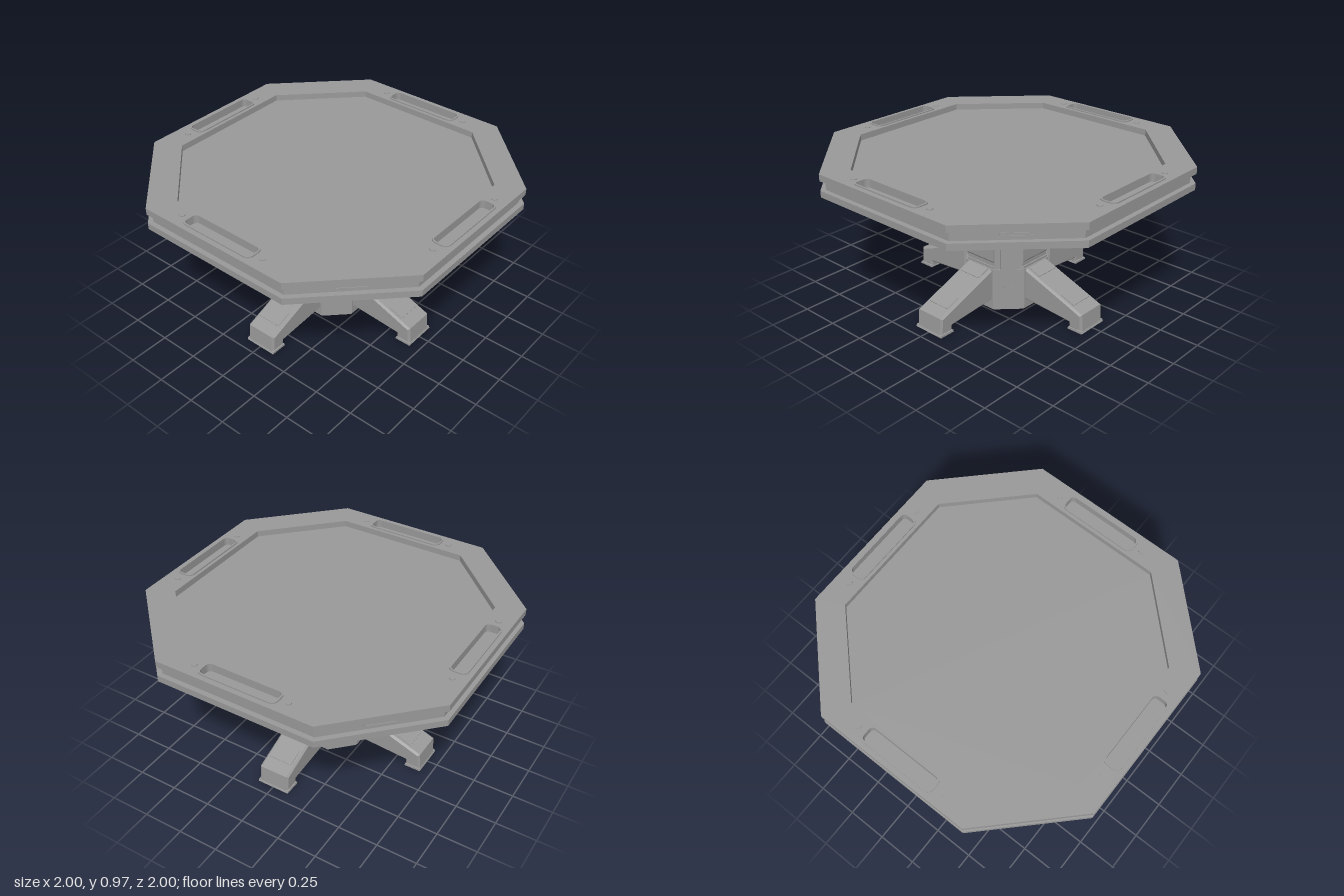
import * as THREE from 'three';

const metal = new THREE.MeshStandardMaterial({ color: 0x999999 });
metal.name = 'grey metal';

const V = (x, y) => new THREE.Vector2(x, y);

// Octagon outline: a = half width, b = half length of a straight edge
function oct(a, b = a / 2) {
  return [V(b, -a), V(a, -b), V(a, b), V(b, a), V(-b, a), V(-a, b), V(-a, -b), V(-b, -a)];
}

// Rounded rectangle outline
function pill(cx, cy, w, h, r) {
  const pts = [];
  const corners = [[1, 1], [-1, 1], [-1, -1], [1, -1]];
  corners.forEach(([sx, sy], i) => {
    for (let k = 0; k <= 4; k++) {
      const t = (i + k / 4) * Math.PI / 2;
      pts.push(V(cx + sx * (w / 2 - r) + r * Math.cos(t), cy + sy * (h / 2 - r) + r * Math.sin(t)));
    }
  });
  return pts;
}

function mesh(parent, name, geometry) {
  const m = new THREE.Mesh(geometry, metal);
  m.name = name;
  parent.add(m);
  return m;
}

// Horizontal slab between two heights, outline given in x and z
function slab(parent, name, outline, y0, y1, holes = []) {
  const shape = new THREE.Shape(outline);
  holes.forEach(h => shape.holes.push(new THREE.Path(h)));
  const g = new THREE.ExtrudeGeometry(shape, { depth: y1 - y0, bevelEnabled: false });
  g.rotateX(Math.PI / 2).translate(0, y1, 0);
  return mesh(parent, name, g);
}

// Side profile in x and y, given a width across z
function profile(parent, name, pts, width, bevel = 0) {
  const shape = new THREE.Shape(pts.map(p => V(p[0], p[1])));
  const g = new THREE.ExtrudeGeometry(shape, {
    depth: width - 2 * bevel, bevelEnabled: bevel > 0, bevelSize: bevel,
    bevelOffset: -bevel, bevelThickness: bevel, bevelSegments: 1,
  });
  g.translate(0, 0, bevel - width / 2);
  return mesh(parent, name, g);
}

function box(parent, name, w, h, d, x, y, z) {
  const m = mesh(parent, name, new THREE.BoxGeometry(w, h, d));
  m.position.set(x, y, z);
  return m;
}

function turned(parent, name, angle) {
  const g = new THREE.Group();
  g.name = name;
  g.rotation.y = angle;
  parent.add(g);
  return g;
}

function buildTop(root) {
  const top = turned(root, 'tableTop', 0);
  const trays = [[0, 0.915, 1], [0, -0.915, 1], [0.915, 0, 0], [-0.915, 0, 0]];
  const tray = ([x, z, along], grow) => {
    const l = 0.48 + grow, w = 0.09 + grow;
    return along ? pill(x, z, l, w, 0.025 + grow / 2) : pill(x, z, w, l, 0.025 + grow / 2);
  };

  // Underside: rim, groove, inner ring around a shallow recess
  slab(top, 'lowerRim', oct(1), 0.82, 0.842, [oct(0.83)]);
  slab(top, 'undersideRing', oct(0.81), 0.82, 0.842, [oct(0.68)]);
  slab(top, 'lowerPlate', oct(1), 0.842, 0.86);

  // Inset band and raised rim with the sunken playing surface
  slab(top, 'edgeBand', oct(0.97, 0.488), 0.86, 0.918);
  slab(top, 'upperRim', oct(1), 0.918, 0.96, [oct(0.84, 0.42), ...trays.map(t => tray(t, 0))]);
  slab(top, 'playingSurface', oct(0.845, 0.422), 0.912, 0.921);

  // Tray lips and studs
  trays.forEach(t => {
    slab(top, 'trayLip', tray(t, 0.02), 0.955, 0.968, [tray(t, 0)]);
    for (const s of [-0.3, 0.3]) {
      const stud = mesh(top, 'stud', new THREE.CylinderGeometry(0.018, 0.018, 0.012, 16));
      stud.position.set(t[0] + (t[2] ? s : 0), 0.959, t[1] + (t[2] ? 0 : s));
    }
  });

  // Slot frames on the diagonal edges and radial ribs below
  for (let i = 0; i < 4; i++) {
    const g = turned(top, 'diagonalEdge', Math.PI / 4 + i * Math.PI / 2);
    const shape = new THREE.Shape(pill(0, 0, 0.18, 0.022, 0.01));
    shape.holes.push(new THREE.Path(pill(0, 0, 0.166, 0.01, 0.004)));
    const frame = mesh(g, 'slotFrame', new THREE.ExtrudeGeometry(shape, { depth: 0.006, bevelEnabled: false }));
    frame.position.set(0, 0.89, (0.97 + 0.488) / Math.SQRT2 - 0.002);
    box(g, 'undersideRib', 0.05, 0.024, 0.56, 0, 0.832, 0.46);
  }
}

function buildColumn(root) {
  const column = turned(root, 'column', 0);
  slab(column, 'columnFoot', oct(0.235, 0.105), 0, 0.015);
  slab(column, 'columnBase', oct(0.245, 0.11), 0.015, 0.28);
  slab(column, 'columnBaseCap', oct(0.238, 0.107), 0.28, 0.295);
  slab(column, 'columnMiddle', oct(0.23, 0.11), 0.295, 0.485);
  slab(column, 'columnGroove', oct(0.218, 0.105), 0.485, 0.5);
  // Upper part has an open bay at the front for the cables
  const bay = oct(0.235, 0.115);
  bay.splice(4, 0, V(0.105, 0.235), V(0.105, 0.19), V(-0.105, 0.19), V(-0.105, 0.235));
  slab(column, 'columnUpper', bay, 0.5, 0.725);
  slab(column, 'columnHead', oct(0.24, 0.11), 0.725, 0.845);

  // Strips on the diagonal faces
  for (let i = 0; i < 4; i++) {
    const g = turned(column, 'diagonalStrip', Math.PI / 4 + i * Math.PI / 2);
    box(g, 'strip', 0.096, 0.6, 0.05, 0, 0.43, 0.242);
    box(g, 'stripMark', 0.05, 0.008, 0.004, 0, 0.69, 0.268);
    box(g, 'stripMark', 0.05, 0.008, 0.004, 0, 0.17, 0.268);
  }

  // Loose cables in the front bay
  const cables = [
    [-0.08, -0.045, -0.075, -0.05, 0.245], [-0.05, -0.075, -0.04, -0.055, 0.235],
    [0.01, 0.04, 0.015, 0.035, 0.25], [0.05, 0.035, 0.07, 0.045, 0.24],
    [-0.1, -0.1, -0.06, -0.03, 0.225],
  ];
  cables.forEach(([a, b, c, d, z]) => {
    const path = new THREE.CatmullRomCurve3([
      new THREE.Vector3(a, 0.725, 0.195), new THREE.Vector3(b, 0.66, z),
      new THREE.Vector3(c, 0.59, z), new THREE.Vector3(d, 0.5, 0.195),
    ]);
    mesh(column, 'cable', new THREE.TubeGeometry(path, 24, 0.008, 8));
  });
}

// One arm along +x: leg, column panels and bracket under the top
function buildArm(root, angle, hasPanel) {
  const arm = turned(root, 'arm', angle);
  profile(arm, 'leg', [
    [0.2, 0.07], [0.58, 0.04], [0.583, 0.008], [0.68, 0.008], [0.672, 0.118],
    [0.61, 0.142], [0.24, 0.28], [0.2, 0.28],
  ], 0.2, 0.012);
  profile(arm, 'footPad', [[0.58, 0], [0.685, 0], [0.68, 0.014], [0.583, 0.014]], 0.21);

  // Raised plates lying on the sloping top of the leg
  const slope = -Math.atan2(0.138, 0.37);
  for (const [x, l] of [[0.29, 0.09], [0.55, 0.1]]) {
    const plate = box(arm, 'legPlate', l, 0.008, 0.15, x, 0.28 - (x - 0.24) * 0.373, 0);
    plate.rotation.z = slope;
  }

  profile(arm, 'middlePanel', [
    [0.2, 0.32], [0.23, 0.32], [0.237, 0.33], [0.237, 0.47], [0.23, 0.48], [0.2, 0.48],
  ], 0.22);
  box(arm, 'panelSlot', 0.004, 0.01, 0.09, 0.239, 0.44, 0);
  if (hasPanel) {
    profile(arm, 'upperPanel', [
      [0.2, 0.5], [0.238, 0.5], [0.25, 0.515], [0.25, 0.7], [0.238, 0.722], [0.2, 0.722],
    ], 0.225);
  }
  profile(arm, 'topBracket', [[0.18, 0.74], [0.24, 0.74], [0.52, 0.82], [0.52, 0.845], [0.18, 0.845]], 0.17);
}

export function createModel() {
  const root = new THREE.Group();
  root.name = 'octagonalTable';
  buildTop(root);
  buildColumn(root);
  // The front arm (+z) leaves the cable bay open
  for (let i = 0; i < 4; i++) buildArm(root, i * Math.PI / 2, i !== 3);
  return root;
}
